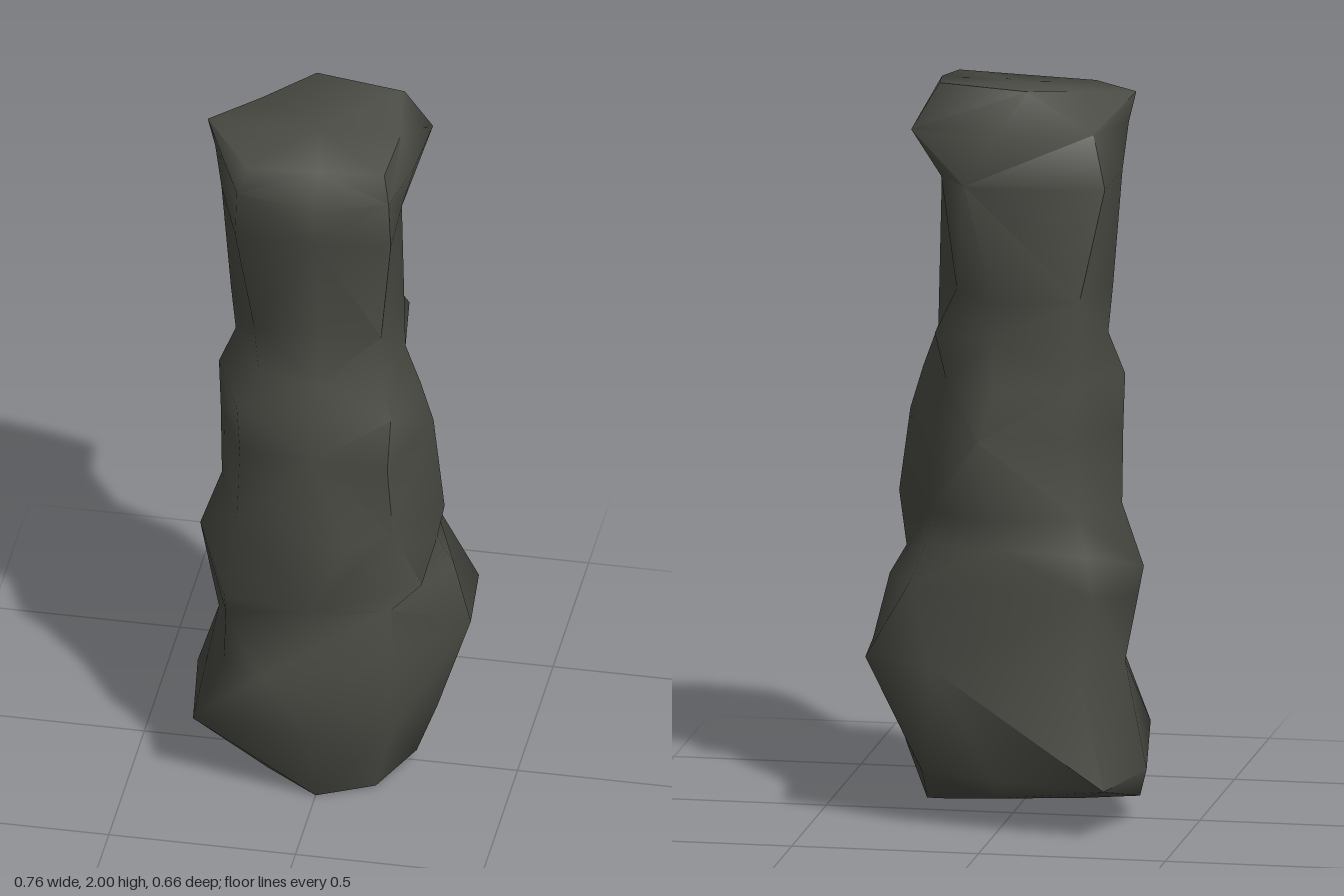
import * as THREE from 'three';
import { toCreasedNormals } from 'three/addons/utils/BufferGeometryUtils.js';

const SIDES = 8;

// Cross-sections from foot to head: height, slope along x, slope along z,
// then the corner radius every 45 degrees from +x towards +z
const RINGS = [
  [.045, -.05, -.2, .23, .21, .215, .20, .34, .33, .23, .21],
  [.18, 0, .15, .285, .28, .265, .398, .40, .42, .25, .29],
  [.44, .05, 0, .375, .30, .355, .34, .30, .31, .335, .418],
  [.62, .05, -.15, .33, .28, .25, .335, .335, .37, .285, .33],
  [.70, .05, -.27, .285, .32, .28, .34, .35, .34, .29, .28],
  [.85, 0, 0, .318, .29, .322, .30, .292, .30, .293, .265],
  [1.07, .05, 0, .275, .324, .235, .29, .295, .28, .332, .24],
  [1.20, 0, 0, .24, .28, .26, .30, .30, .30, .28, .215],
  [1.31, 0, -.1, .20, .24, .205, .23, .255, .315, .268, .25],
  [1.44, 0, 0, .197, .235, .18, .245, .268, .31, .28, .18],
  [1.75, 0, 0, .19, .28, .22, .305, .293, .388, .29, .23],
  [1.88, 0, 0, .225, .27, .26, .30, .31, .308, .255, .308],
  [1.975, .04, -.12, .19, .25, .18, .265, .33, .228, .229, .235],
];

// Corners turned away from their even spacing, in degrees: ring -> { corner: turn }
const TURNS = {
  1: { 3: 10, 4: 18 },
  2: { 2: 21, 6: 30, 7: 13 },
  4: { 1: -14 },
  5: { 0: 9, 2: -18 },
  6: { 1: 7, 6: 6 },
  10: { 5: -4, 6: 16 },
  11: { 5: -9, 7: 5 },
  12: { 5: -19, 6: -20 },
};

function ringPoints([y, slopeX, slopeZ, ...radii], ring) {
  return radii.map((r, i) => {
    const a = THREE.MathUtils.degToRad(i * 360 / SIDES + (TURNS[ring]?.[i] ?? 0));
    const x = r * Math.cos(a), z = r * Math.sin(a);
    return [x, y + slopeX * x + slopeZ * z, z];
  });
}

function pillarGeometry() {
  const last = RINGS.length - 1;
  const rings = RINGS.map(ringPoints);
  const pos = rings.flat(2), idx = [];
  for (let r = 0; r < last; r++) {
    for (let i = 0; i < SIDES; i++) {
      const j = (i + 1) % SIDES;
      const a = r * SIDES + i, b = r * SIDES + j, c = a + SIDES, d = b + SIDES;
      // Alternate the diagonals for an irregular rocky surface
      if ((r + i) % 2) idx.push(a, c, b, b, c, d);
      else idx.push(a, c, d, a, d, b);
    }
  }
  // Sloping underside and top
  for (const r of [0, last]) {
    const c = pos.length / 3;
    pos.push(...[0, 1, 2].map(k => rings[r].reduce((s, p) => s + p[k], 0) / SIDES));
    for (let i = 0; i < SIDES; i++) {
      const a = r * SIDES + i, b = r * SIDES + (i + 1) % SIDES;
      if (r) idx.push(c, b, a);
      else idx.push(c, a, b);
    }
  }
  const g = new THREE.BufferGeometry();
  g.setAttribute('position', new THREE.Float32BufferAttribute(pos, 3));
  g.setIndex(idx);
  return toCreasedNormals(g, 1.3);
}

export function createModel() {
  const group = new THREE.Group();
  group.name = 'rockPillar';
  const stone = new THREE.MeshStandardMaterial({ color: 0x4c4c46 });
  stone.name = 'dark stone';
  const pillar = new THREE.Mesh(pillarGeometry(), stone);
  pillar.name = 'stoneColumn';
  group.add(pillar);
  return group;
}
